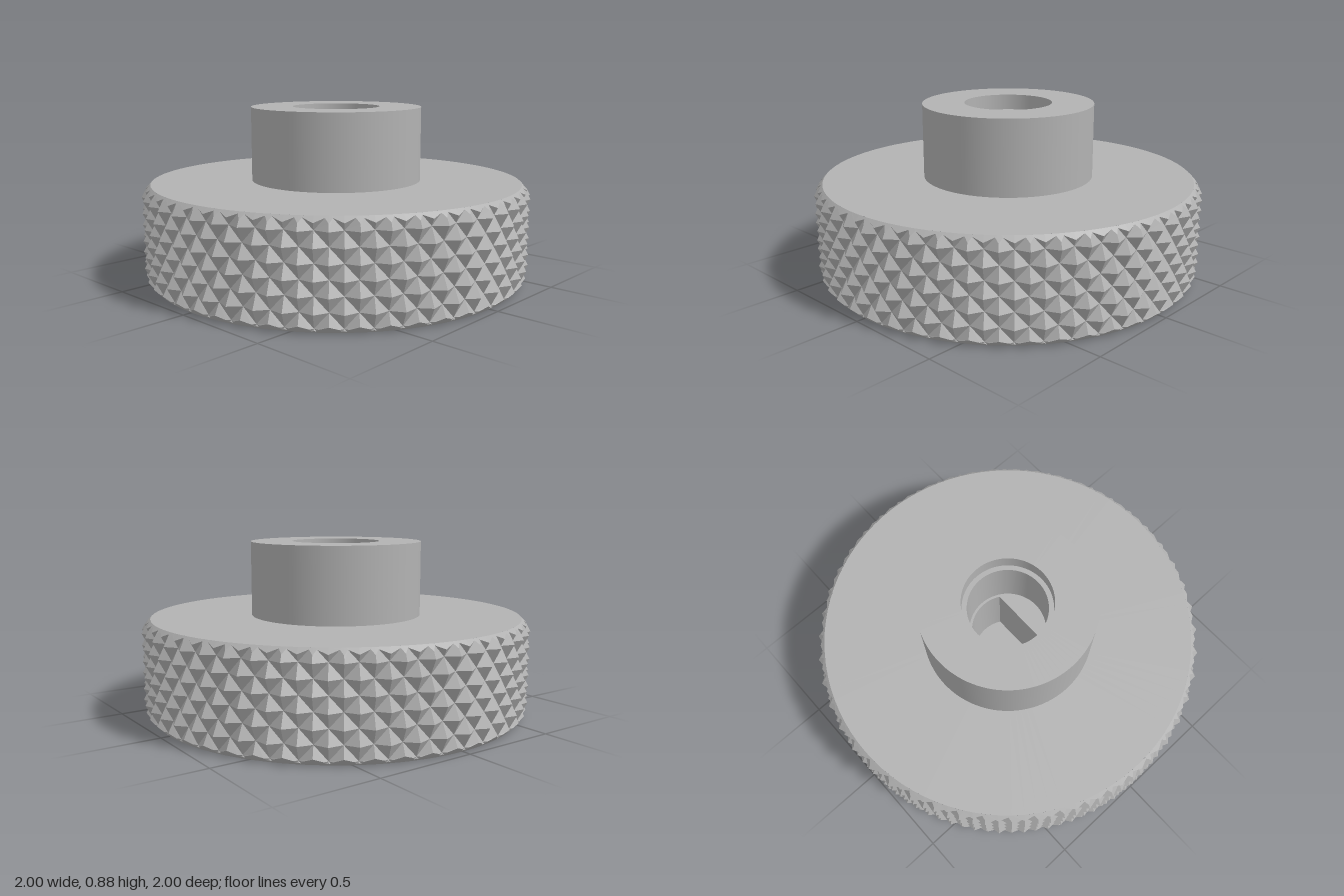
import * as THREE from 'three';

const COLUMNS = 96;            // half-pitches of the knurl around the rim
const HEIGHT = 0.5, PEAK = 1, VALLEY = 0.963, EDGE = 0.955;
const ROW = 0.07, MIDDLE = 0.23;

const metal = new THREE.MeshStandardMaterial({ color: 0xb2b2b2 });
metal.name = 'satin grey';

// Radius of the chamfer cones that trim the knurl at both ends
const topCone = (y) => EDGE + (HEIGHT - y);
const bottomCone = (y) => EDGE + y;

// Part of a convex polygon where f(point) >= 0
function clip(poly, f) {
  const out = [];
  poly.forEach((a, n) => {
    const b = poly[(n + 1) % poly.length];
    const fa = f(a), fb = f(b);
    if (fa >= 0) out.push(a);
    if ((fa > 0 && fb < 0) || (fa < 0 && fb > 0)) {
      const t = fa / (fa - fb);
      out.push(a.map((v, k) => v + (b[k] - v) * t));
    }
  });
  return out;
}

// Diamond knurl: pyramids on a checkerboard of peaks and valleys, trimmed by the chamfers
function knurlGeometry() {
  const positions = [];
  const emit = (poly) => {
    for (let n = 1; n + 1 < poly.length; n++) {
      for (const [i, y, r] of [poly[0], poly[n], poly[n + 1]]) {
        const angle = (i * 2 * Math.PI) / COLUMNS;
        positions.push(r * Math.sin(angle), y, r * Math.cos(angle));
      }
    }
  };
  const trim = (triangle) => {
    let poly = clip(triangle, (p) => p[1]);
    poly = clip(poly, (p) => HEIGHT - p[1]);
    if (poly.length < 3) return;
    const cone = (poly.reduce((s, p) => s + p[1], 0) / poly.length) > HEIGHT / 2 ? topCone : bottomCone;
    emit(clip(poly, (p) => cone(p[1]) - p[2]));
    emit(clip(poly, (p) => p[2] - cone(p[1])).map(([i, y]) => [i, y, cone(y)]));
  };
  const corner = (i, k) => [i, MIDDLE + k * ROW, (i + k) % 2 === 0 ? PEAK : VALLEY];
  for (let i = 0; i < COLUMNS; i++) {
    for (let k = -4; k < 4; k++) {
      const a = corner(i, k), b = corner(i + 1, k);
      const c = corner(i + 1, k + 1), d = corner(i, k + 1);
      // Grooves follow the diagonal that joins the two valleys
      const triangles = (i + k) % 2 === 0 ? [[a, b, d], [b, c, d]] : [[a, b, c], [a, c, d]];
      triangles.forEach(trim);
    }
  }
  const geometry = new THREE.BufferGeometry();
  geometry.setAttribute('position', new THREE.Float32BufferAttribute(positions, 3));
  geometry.computeVertexNormals();
  return geometry;
}

export function createModel() {
  const model = new THREE.Group();
  model.name = 'knurledKnob';
  const add = (name, geometry) => {
    const mesh = new THREE.Mesh(geometry, metal);
    mesh.name = name;
    model.add(mesh);
    return mesh;
  };
  // One straight profile line turned round the axis, so edges between bands stay sharp
  const band = (name, r0, y0, r1, y1) =>
    add(name, new THREE.LatheGeometry([new THREE.Vector2(r0, y0), new THREE.Vector2(r1, y1)], COLUMNS));

  // Disc
  add('knurledRim', knurlGeometry());
  band('baseFace', 0, 0, EDGE, 0);
  band('discTop', EDGE, HEIGHT, 0.44, HEIGHT);

  // Hub with a stepped bore
  band('hubWall', 0.44, HEIGHT, 0.44, 0.88);
  band('hubTop', 0.44, 0.88, 0.225, 0.88);
  band('counterboreWall', 0.225, 0.88, 0.225, 0.8);
  band('counterboreStep', 0.225, 0.8, 0.2, 0.8);
  band('boreWall', 0.2, 0.8, 0.2, 0.5);
  band('boreFloor', 0.2, 0.13, 0, 0.13);

  // D-shaped shaft socket, flat towards the front
  const R = 0.187, start = -Math.asin(0.09 / R);
  const socket = new THREE.Shape().absarc(0, 0, 0.2, 0, Math.PI * 2);
  socket.holes.push(new THREE.Path().absarc(0, 0, R, start, Math.PI - start));
  const socketGeometry = new THREE.ExtrudeGeometry(socket, { depth: 0.37, bevelEnabled: false, curveSegments: 48 });
  socketGeometry.rotateX(-Math.PI / 2).translate(0, 0.13, 0);
  add('shaftSocket', socketGeometry);

  return model;
}
